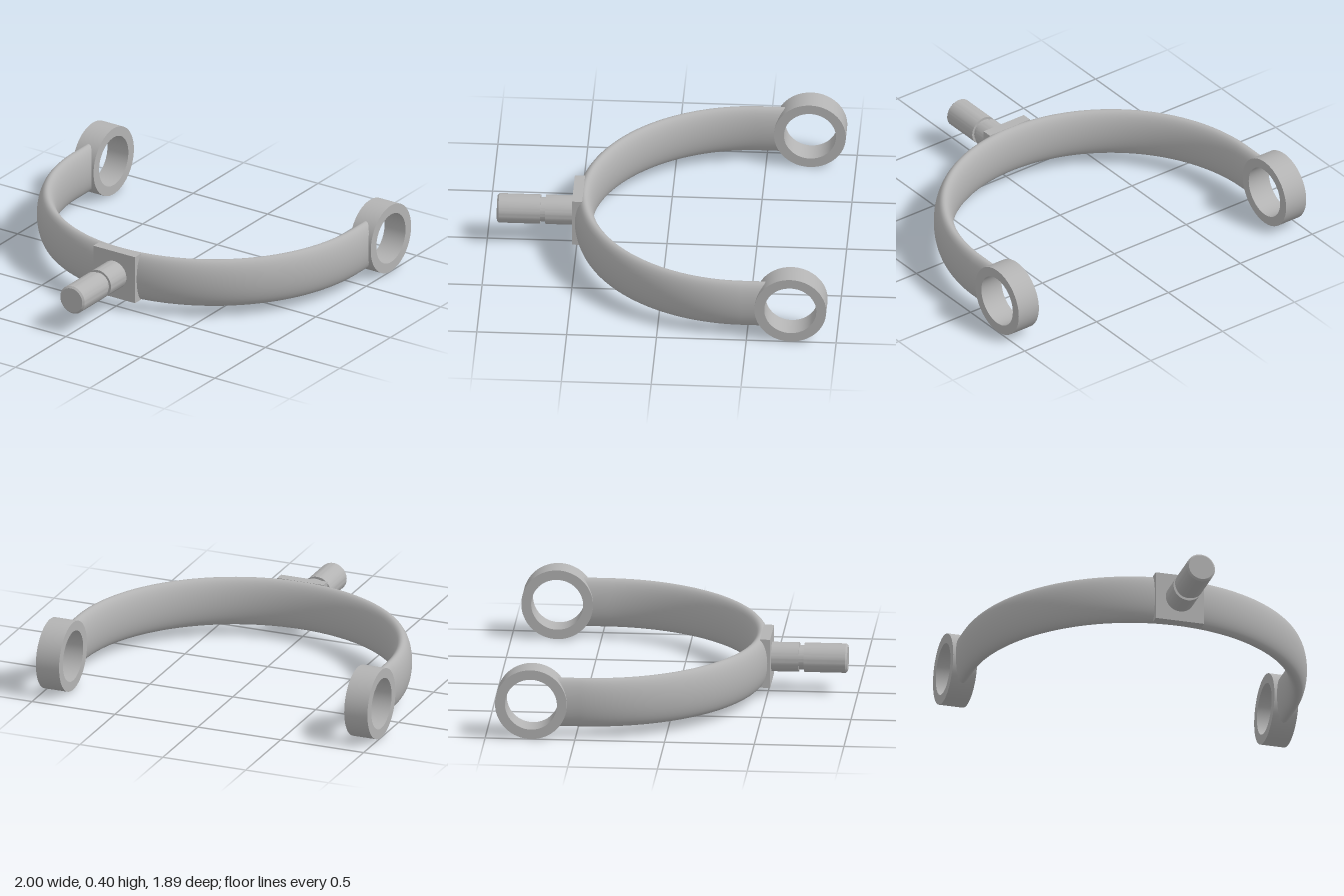
import * as THREE from 'three';
import { toCreasedNormals } from 'three/addons/utils/BufferGeometryUtils.js';

const MID_Y = 0.2;      // height of the centre plane
const ARC_R = 0.93;     // radius of the bow
const ARC_Z = -0.47;    // centre of the bow
const EYE_Z = -0.745;   // centre of the end rings

// Revolved solid with sharp edges, axis along y
function turned(profile) {
  const points = profile.map(([r, y]) => new THREE.Vector2(r, y));
  return toCreasedNormals(new THREE.LatheGeometry(points, 64), 0.5);
}

// Bow of elliptical section: half circle with short straight legs ending inside the rings
function bowGeometry() {
  const arcSteps = 96, sides = 40, halfThick = 0.055, halfHigh = 0.14;
  const positions = [], indices = [];
  const rows = arcSteps + 3;
  for (let i = 0; i < rows; i++) {
    const k = Math.min(Math.max(i - 1, 0), arcSteps);
    const angle = (Math.PI * k) / arcSteps;
    const isLegEnd = i === 0 || i === rows - 1;
    for (let j = 0; j < sides; j++) {
      const s = (2 * Math.PI * j) / sides;
      const r = ARC_R + halfThick * Math.cos(s);
      const dy = halfHigh * Math.sin(s);
      const z = isLegEnd
        ? EYE_Z + Math.sqrt(0.17 * 0.17 - dy * dy)
        : ARC_Z + r * Math.sin(angle);
      positions.push(r * Math.cos(angle), MID_Y + dy, z);
      if (i < rows - 1) {
        const next = (j + 1) % sides;
        const a = i * sides + j, b = i * sides + next;
        indices.push(a, b, a + sides, b, b + sides, a + sides);
      }
    }
  }
  const geometry = new THREE.BufferGeometry();
  geometry.setAttribute('position', new THREE.Float32BufferAttribute(positions, 3));
  geometry.setIndex(indices);
  geometry.computeVertexNormals();
  return geometry;
}

export function createModel() {
  const group = new THREE.Group();
  const metal = new THREE.MeshStandardMaterial({ color: 0xb3b3b3 });
  metal.name = 'grey metal';

  function add(name, geometry, x, y, z) {
    const mesh = new THREE.Mesh(geometry, metal);
    mesh.name = name;
    mesh.position.set(x, y, z);
    group.add(mesh);
    return mesh;
  }

  add('bow', bowGeometry(), 0, 0, 0);

  // Rings at the leg ends
  const ring = turned([[0.145, -0.07], [0.2, -0.07], [0.2, 0.07], [0.145, 0.07], [0.145, -0.07]]);
  ring.rotateZ(Math.PI / 2);
  add('leftRing', ring, 0.93, MID_Y, EYE_Z);
  add('rightRing', ring, -0.93, MID_Y, EYE_Z);

  // Flat pad on the front of the bow
  add('pad', new THREE.BoxGeometry(0.28, 0.28, 0.057), 0, MID_Y, 0.4925);

  // Pin with a groove and a chamfered tip
  const pin = turned([
    [0, -0.02], [0.082, -0.02], [0.082, 0.153], [0.068, 0.153], [0.068, 0.182],
    [0.082, 0.182], [0.082, 0.413], [0.072, 0.423], [0, 0.423],
  ]);
  pin.rotateX(Math.PI / 2);
  add('pin', pin, 0, MID_Y, 0.521);

  return group;
}
